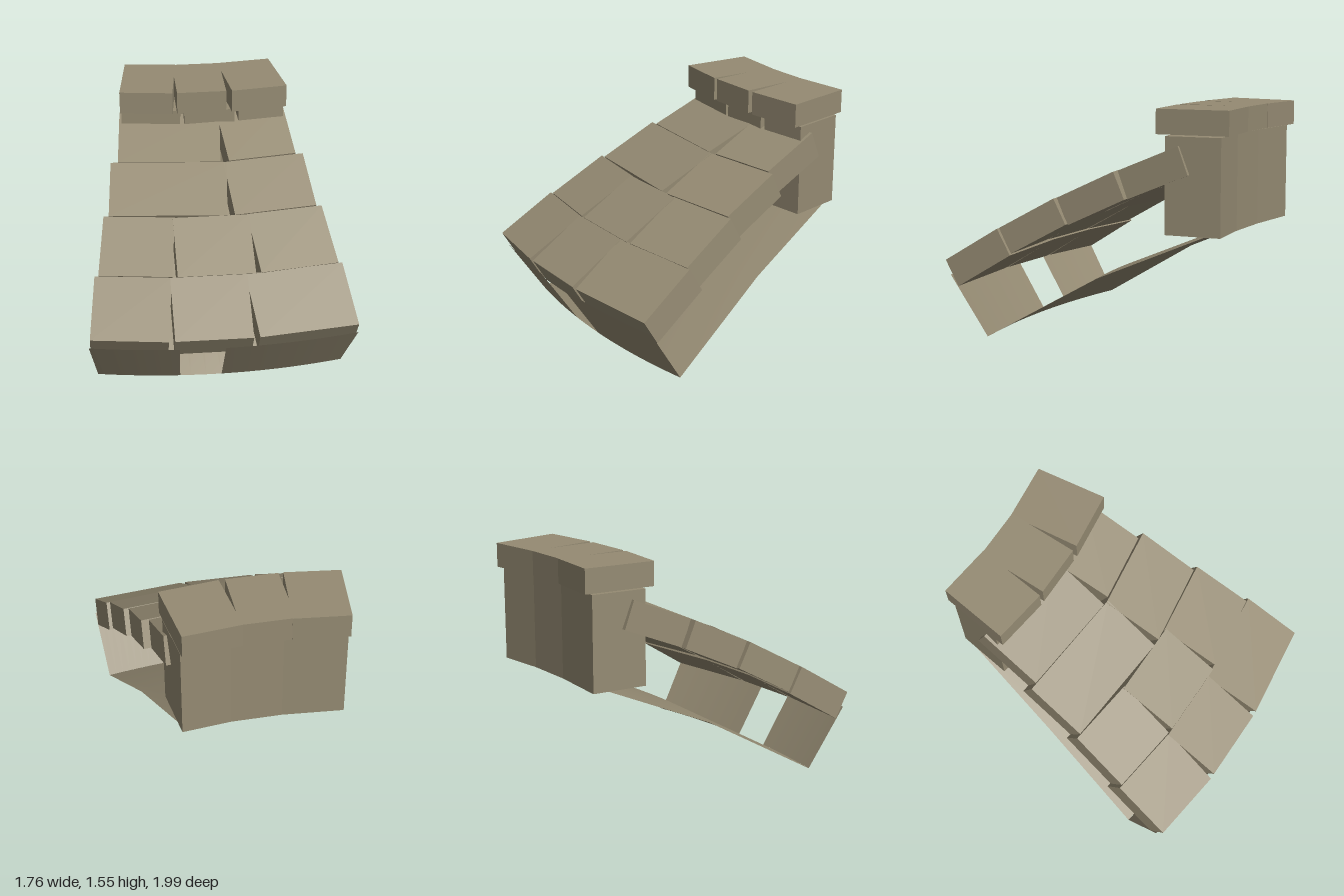
import * as THREE from 'three';

const stone = new THREE.MeshStandardMaterial({ color: 0x958b73, side: THREE.DoubleSide });
stone.name = 'weathered stone';

// Six-sided block: top corners [x, z] in order front-left, front-right, back-right, back-left
// (seen from above), front and back top heights, and a drop vector [y, z] to the underside.
function block(name, corners, yFront, yBack, [dy, dz]) {
  const top = corners.map(([x, z], i) => [x, i < 2 ? yFront : yBack, z]);
  const p = [...top, ...top.map(([x, y, z]) => [x, y + dy, z + dz])];
  const quads = [[0, 1, 2, 3], [7, 6, 5, 4], [4, 5, 1, 0], [5, 6, 2, 1], [6, 7, 3, 2], [7, 4, 0, 3]];
  const pos = [];
  for (const [a, b, c, d] of quads) for (const i of [a, b, c, a, c, d]) pos.push(...p[i]);
  const geo = new THREE.BufferGeometry();
  geo.setAttribute('position', new THREE.Float32BufferAttribute(pos, 3));
  geo.computeVertexNormals();
  const mesh = new THREE.Mesh(geo, stone);
  mesh.name = name;
  return mesh;
}

// Bowed sheet through cross-sections [halfWidth, y, zCentre, sag], between u0 and u1 of the width.
function sheet(name, sections, u0, u1, flip = false, n = 16) {
  const pos = [], index = [];
  sections.forEach(([w, y, z, sag], r) => {
    for (let i = 0; i <= n; i++) {
      const u = u0 + (u1 - u0) * i / n;
      pos.push(w * u, y, z - sag * u * u);
      if (r && i) {
        const a = (r - 1) * (n + 1) + i - 1, b = a + 1, c = a + n + 1, d = c + 1;
        index.push(...(flip ? [a, c, b, b, c, d] : [a, b, c, b, d, c]));
      }
    }
  });
  const geo = new THREE.BufferGeometry();
  geo.setAttribute('position', new THREE.Float32BufferAttribute(pos, 3));
  geo.setIndex(index);
  geo.computeVertexNormals();
  const mesh = new THREE.Mesh(geo, stone);
  mesh.name = name;
  return mesh;
}

export function createModel() {
  const model = new THREE.Group();
  model.name = 'stoneShelter';

  // Roof courses: each is a line of slabs whose joints open towards the front
  const courses = [
    { y: [0.5, 0.735], drop: [-0.17, -0.1], slabs: [
      [[-0.87, 0.915], [-0.37, 0.985], [-0.318, 0.6], [-0.82, 0.53]],
      [[-0.33, 0.985], [0.175, 0.992], [0.177, 0.605], [-0.33, 0.6]],
      [[0.215, 0.99], [0.87, 0.915], [0.82, 0.53], [0.163, 0.605]]] },
    { y: [0.737, 0.953], drop: [-0.165, -0.09], slabs: [
      [[-0.795, 0.53], [-0.315, 0.595], [-0.265, 0.2], [-0.74, 0.14]],
      [[-0.28, 0.6], [0.235, 0.605], [0.235, 0.21], [-0.28, 0.205]],
      [[0.27, 0.6], [0.795, 0.53], [0.74, 0.14], [0.22, 0.205]]] },
    { y: [0.955, 1.145], drop: [-0.175, -0.08], slabs: [
      [[-0.705, 0.14], [0.09, 0.21], [0.125, -0.19], [-0.67, -0.26]],
      [[0.14, 0.21], [0.705, 0.135], [0.67, -0.265], [0.105, -0.19]]] },
    { y: [1.147, 1.32], drop: [-0.18, -0.07], slabs: [
      [[-0.62, -0.26], [0.085, -0.195], [0.122, -0.62], [-0.585, -0.68]],
      [[0.145, -0.205], [0.62, -0.27], [0.585, -0.68], [0.1, -0.62]]] },
  ];
  courses.forEach(({ y, drop, slabs }, r) => {
    const course = new THREE.Group();
    course.name = `roofCourse${r + 1}`;
    slabs.forEach((s, i) => course.add(block(`roofSlab${i + 1}`, s, y[0], y[1], drop)));
    model.add(course);
  });

  // Upright back wall and its overhanging coping
  const tiers = [
    { name: 'backWall', top: 1.378, h: 0.628, slabs: [
      [[-0.575, -0.585], [-0.165, -0.54], [-0.125, -0.915], [-0.525, -0.95]],
      [[-0.135, -0.537], [0.22, -0.537], [0.22, -0.915], [-0.135, -0.915]],
      [[0.25, -0.545], [0.575, -0.585], [0.525, -0.95], [0.205, -0.915]]] },
    { name: 'coping', top: 1.548, h: 0.16, slabs: [
      [[-0.585, -0.525], [-0.22, -0.477], [-0.165, -0.96], [-0.525, -1]],
      [[-0.188, -0.477], [0.155, -0.477], [0.155, -0.957], [-0.188, -0.957]],
      [[0.195, -0.477], [0.585, -0.525], [0.52, -1], [0.14, -0.957]]] },
  ];
  for (const { name, top, h, slabs } of tiers) {
    const tier = new THREE.Group();
    tier.name = name;
    slabs.forEach((s, i) => tier.add(block(`${name}Block${i + 1}`, s, top, top, [-h, 0])));
    model.add(tier);
  }

  // Bowed, leaning front wall in two parts with a doorway between them
  const front = [[0.83, 0, 0.69, 0.08], [0.88, 0.405, 0.953, 0.085]];
  model.add(sheet('frontWallRight', front, -1, -0.337));
  model.add(sheet('frontWallLeft', front, 0, 1));

  // Sloping floor, rising to the foot of the back wall
  model.add(sheet('floor', [
    [0.83, 0, 0.69, 0.08], [0.68, 0.445, -0.08, 0.07], [0.54, 0.75, -0.79, 0.055],
  ], -1, 1));

  return model;
}
